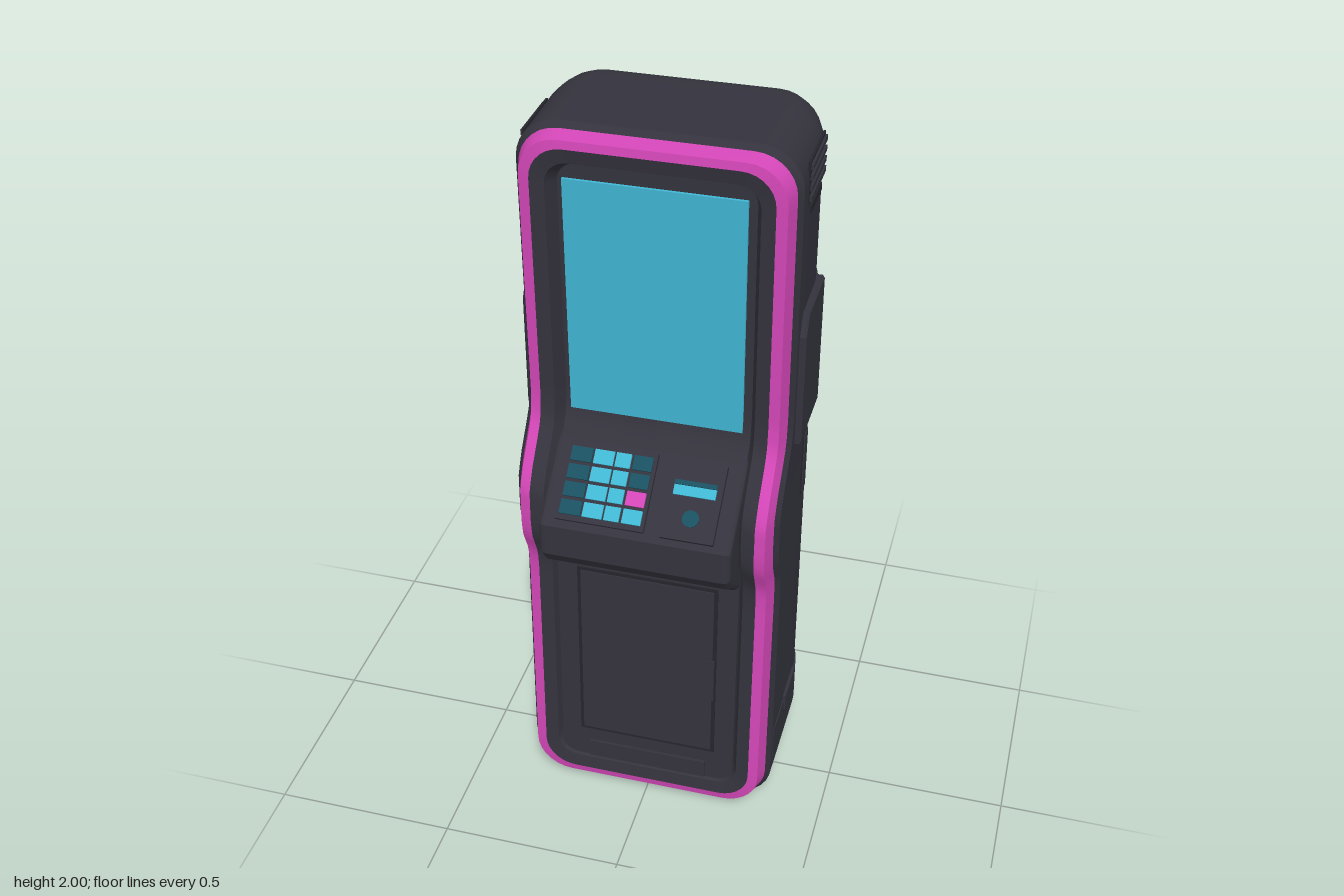
import * as THREE from 'three';

const mat = (name, color) => {
  const m = new THREE.MeshStandardMaterial({ color });
  m.name = name;
  return m;
};

// Front profile: depth of the front edge at each height
const PROFILE = [[0, 0.205], [0.75, 0.187], [0.81, 0.192], [0.88, 0.225], [0.93, 0.233], [1.03, 0.23],
  [1.08, 0.205], [1.17, 0.132], [1.2, 0.118], [1.26, 0.111], [2, 0.125]];
function frontZ(y) {
  for (let i = 1; i < PROFILE.length; i++) {
    const [y0, z0] = PROFILE[i - 1], [y1, z1] = PROFILE[i];
    if (y <= y1) return z0 + (z1 - z0) * (y - y0) / (y1 - y0);
  }
  return 0.125;
}

// Rounded rectangle outline, counter-clockwise from the front; zf gives depth per height
function ring(hw, inset, r, zf, squash = 1) {
  const half = [[0, inset]];
  const arc = (cy, a0) => {
    for (let i = 0; i <= 7; i++) {
      const a = a0 + i / 7 * Math.PI / 2;
      half.push([hw - r + r * Math.cos(a), cy + r * Math.sin(a)]);
    }
  };
  const lo = inset + r, hi = 2 - inset - r;
  arc(lo, -Math.PI / 2);
  for (let i = 1; i < 60; i++) half.push([hw, lo + (hi - lo) * i / 60]);
  arc(hi, 0);
  half.push([0, 2 - inset]);
  const left = half.slice(1, -1).reverse().map(([x, y]) => [-x, y]);
  return [...half, ...left].map(([x, y]) => [x * squash, y, zf(y)]);
}

// Smooth skin through a list of rings
function loft(rings) {
  const n = rings[0].length, idx = [];
  for (let k = 0; k < rings.length - 1; k++) {
    for (let i = 0; i < n; i++) {
      const j = (i + 1) % n, a = k * n + i, b = k * n + j, c = b + n, d = a + n;
      idx.push(a, b, c, a, c, d);
    }
  }
  const g = new THREE.BufferGeometry();
  g.setAttribute('position', new THREE.Float32BufferAttribute(rings.flat(2), 3));
  g.setIndex(idx);
  g.computeVertexNormals();
  return g;
}

// Quarter-ellipse inset at distance d from the back
const roundInset = (R, D, d) => d >= D ? 0 : R * (1 - Math.sqrt(1 - (1 - d / D) ** 2));

export function createModel() {
  const root = new THREE.Group();
  root.name = 'kiosk';
  const body = mat('charcoal', 0x34333d);
  const seam = mat('dark seam', 0x25252c);
  const trim = mat('magenta', 0xd246b6);
  const cyan = mat('cyan', 0x41b6d2);
  const teal = mat('deep teal', 0x1a5061);

  const add = (name, geo, m, parent = root) => {
    const mesh = new THREE.Mesh(geo, m);
    mesh.name = name;
    parent.add(mesh);
    return mesh;
  };
  const box = (name, w, h, d, x, y, z, m, parent) => {
    const mesh = add(name, new THREE.BoxGeometry(w, h, d), m, parent);
    mesh.position.set(x, y, z);
    return mesh;
  };
  const off = o => y => frontZ(y) + o;

  // Cabinet shell with rounded back
  const backRings = [0, 0.004, 0.015, 0.03, 0.05, 0.075, 0.1, 0.13, 0.16].map(d =>
    ring(0.348 - roundInset(0.11, 0.16, d), roundInset(0.075, 0.08, d), 0.1, () => -0.31 + d));
  add('backPanel', loft([ring(0.238, 0.075, 0.1, () => -0.31, 0), backRings[0]]), body);
  add('cabinetShell', loft([...backRings, ring(0.35, 0, 0.11, off(-0.065))]), body);
  add('shellLip', loft([ring(0.35, 0, 0.11, off(-0.065)), ring(0.338, 0.012, 0.105, off(-0.047))]), body);

  // Coloured edge trim following the front profile
  add('trimSide', loft([ring(0.338, 0.012, 0.105, off(-0.047)), ring(0.325, 0.022, 0.1, off(-0.004))]), trim);
  add('trimFace', loft([ring(0.325, 0.022, 0.1, off(-0.004)), ring(0.298, 0.043, 0.085, off(0))]), trim);

  // Front frame, recess wall and recess floor
  add('frontFrame', loft([ring(0.298, 0.043, 0.085, off(0)), ring(0.262, 0.08, 0.06, off(-0.006))]), body);
  add('recessWall', loft([ring(0.262, 0.08, 0.06, off(-0.006)), ring(0.245, 0.1, 0.05, off(-0.05))]), body);
  add('recessFloor', loft([ring(0.245, 0.1, 0.05, off(-0.05)), ring(0.245, 0.1, 0.05, off(-0.05), 0)]), body);

  // Display
  const screen = box('screen', 0.455, 0.67, 0.008, -0.004, 1.525, 0.07, cyan);
  screen.rotation.x = 0.018;

  // Lower front door
  const door = new THREE.Group();
  door.name = 'lowerDoor';
  door.position.set(0, 0.45, 0.165);
  door.rotation.x = -0.024;
  root.add(door);
  box('doorSurround', 0.5, 0.74, 0.03, 0, 0, 0, body, door);
  box('doorSeam', 0.39, 0.58, 0.006, 0, 0.025, 0.015, seam, door);
  box('doorPanel', 0.37, 0.56, 0.012, 0, 0.025, 0.015, body, door);
  box('doorHandle', 0.02, 0.14, 0.014, 0.18, 0, 0.016, body, door);
  box('footPlate', 0.34, 0.055, 0.012, 0, -0.335, 0.017, body, door);

  // Sloping control console
  const profile = [[0.05, 1.15], [0.12, 1.135], [0.29, 0.985], [0.29, 0.905], [0.265, 0.87],
    [0.18, 0.8], [0.05, 0.78]];
  const shape = new THREE.Shape(profile.map(p => new THREE.Vector2(...p)));
  const consoleGeo = new THREE.ExtrudeGeometry(shape,
    { depth: 0.47, bevelSize: 0.015, bevelThickness: 0.018, bevelSegments: 3 });
  consoleGeo.translate(0, 0, -0.235).rotateY(-Math.PI / 2);
  add('console', consoleGeo, body);

  // Control deck: local z points out of the slope, local y points up it
  const deck = new THREE.Group();
  deck.name = 'controlDeck';
  deck.position.set(0, 1.071, 0.215);
  deck.rotation.x = -0.848;
  root.add(deck);
  box('keypadBase', 0.235, 0.205, 0.02, -0.093, 0.004, 0.003, body, deck);
  const columns = [[-0.172, 0.056], [-0.113, 0.052], [-0.062, 0.04], [-0.01, 0.05]];
  columns.forEach(([x, w], c) => {
    for (let r = 0; r < 4; r++) {
      const m = c === 3 && r === 2 ? trim : c === 0 || c === 3 && r < 2 ? teal : cyan;
      box('key', w, 0.038, 0.008, x, 0.076 - r * 0.047, 0.015, m, deck);
    }
  });
  box('readerHousing', 0.14, 0.205, 0.026, 0.137, 0, 0.004, body, deck);
  box('readerSlot', 0.11, 0.012, 0.008, 0.137, 0.044, 0.019, teal, deck);
  box('readerLight', 0.11, 0.026, 0.008, 0.137, 0.024, 0.019, cyan, deck);
  const sensor = add('readerSensor', new THREE.CylinderGeometry(0.022, 0.022, 0.006, 20), teal, deck);
  sensor.rotation.x = Math.PI / 2;
  sensor.position.set(0.139, -0.045, 0.018);

  // Slightly raised wraps round the sides and back
  const wrap = (name, y0, y1, grow, zFront) => {
    const s = new THREE.Shape();
    const w = 0.348 + grow, b = 0.31 + grow;
    s.moveTo(-w, -zFront);
    s.lineTo(w, -zFront);
    s.lineTo(w, 0.15);
    s.absellipse(w - 0.11, 0.15, 0.11, b - 0.15, 0, Math.PI / 2, false);
    s.absellipse(-w + 0.11, 0.15, 0.11, b - 0.15, Math.PI / 2, Math.PI, false);
    const g = new THREE.ExtrudeGeometry(s, { depth: y1 - y0, bevelEnabled: false, curveSegments: 10 });
    g.rotateX(-Math.PI / 2).translate(0, y0, 0);
    add(name, g, body);
  };
  wrap('backBelt', 1.17, 1.535, 0.004, -0.1);
  wrap('baseSkirt', 0.11, 0.245, 0.004, 0.12);

  // Side details, mirrored
  for (const s of [1, -1]) {
    const side = new THREE.Group();
    side.name = s > 0 ? 'leftSide' : 'rightSide';
    root.add(side);
    const pad = new THREE.Shape([[-0.02, 1.17], [0.195, 1.17], [0.195, 1.53], [0.01, 1.53], [-0.02, 1.48]]
      .map(p => new THREE.Vector2(...p)));
    const padGeo = new THREE.ExtrudeGeometry(pad, { depth: 0.016, bevelSize: 0.005, bevelThickness: 0.006, bevelSegments: 1 });
    padGeo.translate(0, 0, -0.008).rotateY(Math.PI / 2);
    add('sidePad', padGeo, body, side).position.x = s * 0.352;
    box('ventBack', 0.006, 0.11, 0.18, s * 0.348, 1.885, -0.085, seam, side);
    for (let i = 0; i < 4; i++) {
      box('ventSlat', 0.014, 0.014, 0.17, s * 0.35, 1.845 + i * 0.027, -0.085, body, side);
    }
    box('ventLip', 0.008, 0.02, 0.13, s * 0.349, 1.807, -0.085, seam, side);
    box('gripSeam', 0.006, 0.2, 0.05, s * 0.349, 1.015, -0.122, seam, side);
    box('grip', 0.012, 0.185, 0.036, s * 0.349, 1.015, -0.122, body, side);
    box('skirtTab', 0.014, 0.05, 0.13, s * 0.35, 0.235, -0.075, body, side);
    box('skirtTabSeam', 0.011, 0.006, 0.15, s * 0.35, 0.207, -0.075, seam, side);
  }
  return root;
}
